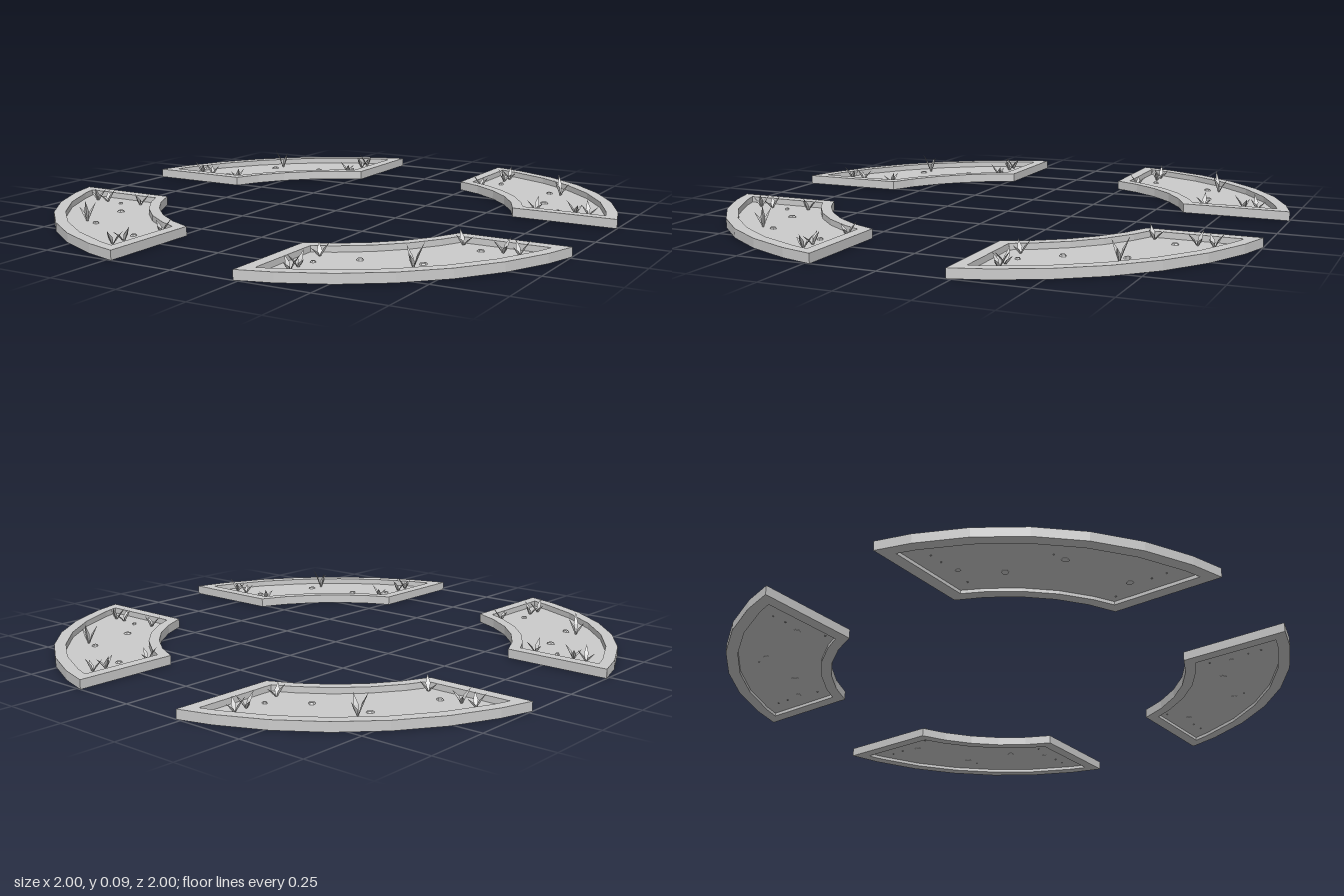
import * as THREE from 'three';

const RIM_TOP = 0.033, SOIL_Y = 0.012;
const material = new THREE.MeshStandardMaterial({ color: 0xcccccc, flatShading: true, side: THREE.DoubleSide });

function part(name, geometry) {
  const mesh = new THREE.Mesh(geometry, material);
  mesh.name = name;
  return mesh;
}

// Faceted arc in steps of ten degrees, cut off by straight ends at x = edge and y = edge
function arcPoints(radius, edge) {
  const start = THREE.MathUtils.radToDeg(Math.asin(edge / radius));
  const angles = [start];
  for (let a = 10; a < 90; a += 10) if (a > start + 1 && a < 89 - start) angles.push(a);
  angles.push(90 - start);
  return angles.map(a => {
    const t = THREE.MathUtils.degToRad(a);
    return new THREE.Vector2(radius * Math.cos(t), radius * Math.sin(t));
  });
}

function bedOutline(inner, outer, edge) {
  return [...arcPoints(outer, edge), ...arcPoints(inner, edge).reverse()];
}

// Leaf blade: narrow foot, wider belly with a raised spine, pointed tip leaning along +x
function bladeGeometry(reach, height, width) {
  const rows = [[0, 0, 0.3], [0.35, 0.5, 1], [1, 1, 0.02]];
  const pos = [], index = [];
  rows.forEach(([r, h, w]) => {
    const x = r * reach, y = h * height, z = w * width / 2;
    pos.push(x, y, -z, x + z * 0.6, y - z * 0.3, 0, x, y, z);
  });
  for (let r = 0; r < 2; r++) for (let c = 0; c < 3; c++) {
    const a = r * 3 + c, b = r * 3 + (c + 1) % 3;
    index.push(a, a + 3, b, b, a + 3, b + 3);
  }
  const g = new THREE.BufferGeometry();
  g.setAttribute('position', new THREE.Float32BufferAttribute(pos, 3));
  g.setIndex(index);
  g.computeVertexNormals();
  return g;
}

function grassTuft(x, z, height, turn) {
  const tuft = new THREE.Group();
  tuft.name = 'grassTuft';
  for (let i = 0; i < 3; i++) {
    const blade = part('grassBlade', bladeGeometry(0.034, height * (1 - 0.17 * i), 0.016));
    blade.rotation.y = turn + i * Math.PI * 2 / 3;
    tuft.add(blade);
  }
  tuft.position.set(x, SOIL_Y - 0.002, z);
  return tuft;
}

function createBed() {
  const bed = new THREE.Group();
  bed.name = 'curvedBed';

  // Raised border, open in the middle
  const shape = new THREE.Shape(bedOutline(0.652, 1.0265, 0.232));
  const opening = bedOutline(0.69, 0.985, 0.275);
  shape.holes.push(new THREE.Path(opening));
  const rim = new THREE.ExtrudeGeometry(shape, { depth: RIM_TOP, bevelEnabled: false });
  rim.rotateX(Math.PI / 2).translate(0, RIM_TOP, 0);
  bed.add(part('border', rim));

  // Recessed soil
  const soil = new THREE.ShapeGeometry(new THREE.Shape(opening));
  soil.rotateX(-Math.PI / 2).scale(1, 1, -1).translate(0, SOIL_Y, 0);
  // Mirroring reverses the winding, so turn the triangles face up again
  const order = soil.index.array;
  for (let i = 0; i < order.length; i += 3) [order[i], order[i + 1]] = [order[i + 1], order[i]];
  soil.computeVertexNormals();
  bed.add(part('soil', soil));

  // Grass: x, z, height, turn
  [
    [0.865, 0.34, 0.052, 0.2], [0.81, 0.338, 0.05, 1.2], [0.655, 0.303, 0.05, 2.3],
    [0.645, 0.643, 0.08, 0.6], [0.328, 0.663, 0.05, 0.1],
    [0.34, 0.81, 0.05, 1.6], [0.34, 0.86, 0.053, 0.5],
  ].forEach(t => bed.add(grassTuft(...t)));

  // Pebbles: x, z, radius
  [[0.74, 0.355, 0.014], [0.655, 0.595, 0.015], [0.462, 0.645, 0.016], [0.35, 0.74, 0.01]].forEach(([x, z, r], i) => {
    const pebble = part('pebble', new THREE.CylinderGeometry(r * 0.7, r, 0.008, 6));
    pebble.position.set(x, SOIL_Y + 0.002, z);
    pebble.rotation.y = i * 1.1;
    pebble.scale.z = 0.8;
    bed.add(pebble);
  });
  return bed;
}

export function createModel() {
  const model = new THREE.Group();
  model.name = 'gardenBeds';
  for (let i = 0; i < 4; i++) {
    const bed = createBed();
    bed.rotation.y = i * Math.PI / 2;
    model.add(bed);
  }
  return model;
}
